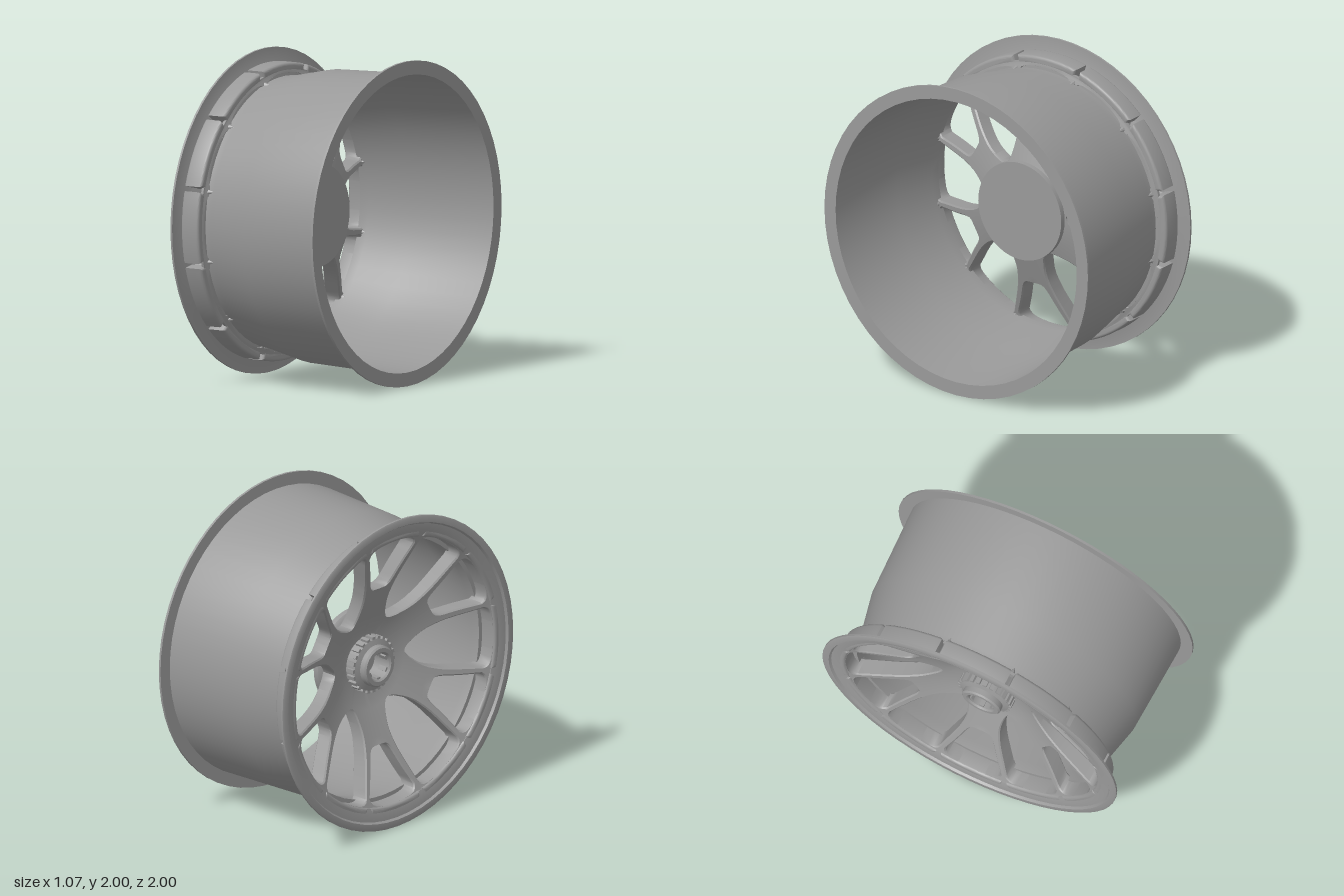
import * as THREE from 'three';
import { toCreasedNormals } from 'three/addons/utils/BufferGeometryUtils.js';

const material = new THREE.MeshStandardMaterial({ color: 0x999999, side: THREE.DoubleSide });
const rad = THREE.MathUtils.degToRad;
const lerp = THREE.MathUtils.lerp;

function part(geometry, name, crease = 30) {
  const mesh = new THREE.Mesh(toCreasedNormals(geometry, rad(crease)), material);
  mesh.name = name;
  return mesh;
}

// Revolve [radius, x] pairs around the wheel axis (x)
function turned(points, name, segments = 60) {
  const profile = [...points, points[0]].map(([r, x]) => new THREE.Vector2(r, x));
  return part(new THREE.LatheGeometry(profile, segments).rotateZ(-Math.PI / 2), name);
}

// Half of one Y-shaped spoke, from the middle of a wide window (0 degrees)
// to the middle of a narrow one (30 degrees): [radius, start angle, end angle]
const HALF_SPOKE = [
  [0.1, 0, 30], [0.2, 0, 30], [0.3, 0, 30], [0.305, 1.5, 30], [0.315, 4, 30], [0.335, 7.5, 30],
  [0.383, 12, 30], [0.42, 14.2, 30], [0.464, 15.6, 30], [0.51, 16, 30], [0.512, 16, 27], [0.516, 16, 24.7],
  [0.53, 16, 22.8], [0.55, 16, 21.7], [0.58, 15.9, 20.8], [0.64, 15.3, 19.6], [0.704, 14.6, 18.4],
  [0.77, 14, 17.2], [0.81, 13.7, 16.6], [0.832, 13, 17.4], [0.846, 11.8, 18.6], [0.854, 9.5, 21],
  [0.857, 5, 25], [0.858, 0, 30], [0.873, 0, 30],
];

function halfSpokeGeometry() {
  const columns = 8;
  const positions = [];
  const index = [];
  const loop = 2 * (columns + 1) + 4;
  HALF_SPOKE.forEach(([r, a0, a1], s) => {
    const t = THREE.MathUtils.clamp((r - 0.2) / 0.67, 0, 1);
    const front = -0.25 - 0.255 * t;
    const back = -0.15 - 0.235 * t;
    // Chamfer only the edges that border a window
    const chamfer = 0.009;
    const c0 = a0 > 0 ? chamfer : 0;
    const c1 = a1 < 30 ? chamfer : 0;
    const add = (x, angle) => positions.push(x, r * Math.sin(angle), r * Math.cos(angle));
    const start = rad(a0);
    const end = rad(a1);
    const across = (i) => lerp(start + c0 / r, end - c1 / r, i / columns);
    for (let i = 0; i <= columns; i++) add(front, across(i));
    add(front + c1, end);
    add(back - c1, end);
    for (let i = columns; i >= 0; i--) add(back, across(i));
    add(back - c0, start);
    add(front + c0, start);
    if (s === 0) return;
    for (let i = 0; i < loop; i++) {
      const j = (i + 1) % loop;
      const inner = (s - 1) * loop;
      const outer = s * loop;
      index.push(inner + i, outer + i, inner + j, inner + j, outer + i, outer + j);
    }
  });
  const geo = new THREE.BufferGeometry();
  geo.setAttribute('position', new THREE.Float32BufferAttribute(positions, 3));
  geo.setIndex(index);
  return geo;
}

function spokes() {
  const group = new THREE.Group();
  group.name = 'spokes';
  const geo = halfSpokeGeometry();
  for (let i = 0; i < 6; i++) {
    for (const side of [1, -1]) {
      const half = part(geo, 'spokeHalf', 40);
      half.scale.y = side;
      half.rotation.x = rad(i * 60);
      group.add(half);
    }
  }
  return group;
}

// Raised blocks around the outside of the face ring
function ringBlocks() {
  const group = new THREE.Group();
  group.name = 'ringBlocks';
  const a = rad(14);
  const shape = new THREE.Shape().absarc(0, 0, 0.915, -a, a, false).absarc(0, 0, 0.856, a, -a, true);
  const geo = new THREE.ExtrudeGeometry(shape, {
    depth: 0.093, curveSegments: 8, bevelThickness: 0.018, bevelSize: 0.018, bevelOffset: -0.018, bevelSegments: 4,
  }).translate(0, 0, -0.496).rotateY(Math.PI / 2);
  const rib = new THREE.ConeGeometry(0.025, 0.06, 6).rotateZ(-Math.PI / 2).translate(-0.365, 0, 0);
  for (let i = 0; i < 12; i++) {
    const block = part(geo, 'ringBlock');
    block.rotation.x = rad(i * 30);
    // Small rib where each spoke end meets the barrel
    const spokeRib = part(rib, 'spokeRib');
    const angle = rad(i * 30 + 15);
    spokeRib.position.set(0, 0.835 * Math.sin(angle), 0.835 * Math.cos(angle));
    group.add(block, spokeRib);
  }
  return group;
}

// Centre-lock nut with a toothed collar
function centreNut() {
  const group = new THREE.Group();
  group.name = 'centreNut';
  group.add(turned([[0.085, -0.24], [0.085, -0.37], [0.095, -0.38], [0.12, -0.38], [0.13, -0.37],
    [0.13, -0.335], [0.165, -0.325], [0.165, -0.24]], 'nutBody', 40));
  const tooth = new THREE.BoxGeometry(0.06, 0.025, 0.024).translate(-0.295, 0.168, 0);
  const lug = new THREE.BoxGeometry(0.06, 0.02, 0.03).translate(-0.335, 0.082, 0);
  for (let i = 0; i < 24; i++) {
    const t = part(tooth, 'nutTooth');
    t.rotation.x = rad(i * 15);
    group.add(t);
    if (i % 4 === 0) {
      const l = part(lug, 'nutLug');
      l.rotation.x = rad(i * 15);
      group.add(l);
    }
  }
  return group;
}

export function createModel() {
  const wheel = new THREE.Group();
  wheel.name = 'wheelRim';

  // Barrel with its open-side flange, and a ledge closing it onto the face ring
  wheel.add(turned([[0.88, -0.405], [0.88, -0.388], [0.838, -0.382], [0.84, -0.34], [0.9, -0.06], [0.92, 0.515],
    [1, 0.515], [1, 0.53], [0.915, 0.53], [0.888, -0.06], [0.83, -0.34], [0.83, -0.405]], 'barrel'));

  // Face-side flange and lip
  wheel.add(turned([[0.99, -0.535], [1, -0.53], [1, -0.517], [0.93, -0.512], [0.862, -0.49],
    [0.862, -0.505], [0.9, -0.517], [0.945, -0.52], [0.955, -0.535]], 'faceFlange'));

  wheel.add(spokes(), ringBlocks());

  // Hub behind the spokes, ending in a flat mounting disc
  wheel.add(turned([[0, -0.245], [0.2, -0.245], [0.25, -0.19], [0.3, -0.17], [0.315, -0.155],
    [0.315, -0.12], [0, -0.12]], 'hub', 48));

  wheel.add(centreNut());

  wheel.position.y = 1;
  const model = new THREE.Group();
  model.name = 'model';
  model.add(wheel);
  return model;
}
